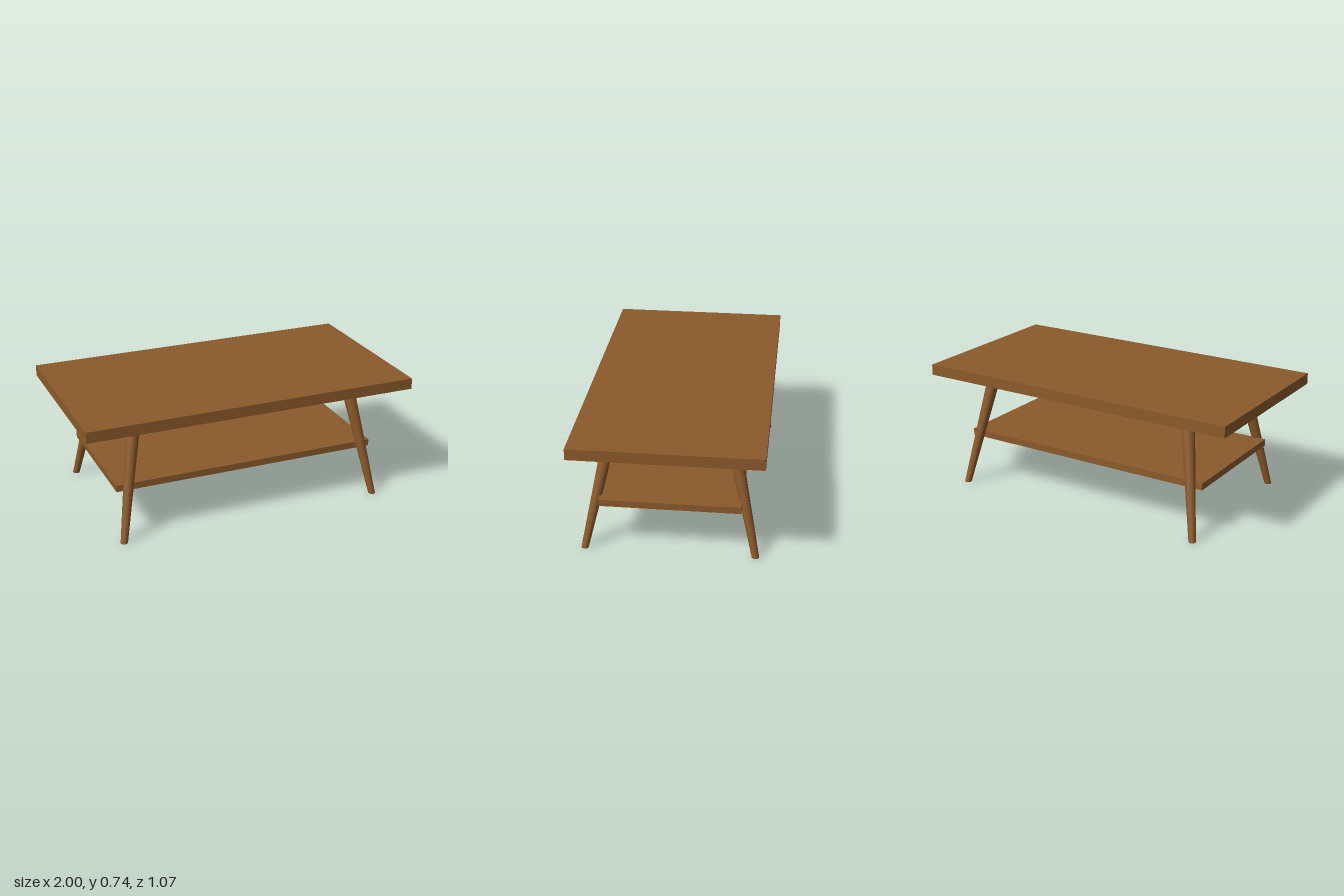
import * as THREE from 'three';

const wood = new THREE.MeshStandardMaterial({ color: 0x8b5a2b });
wood.name = 'brown wood';

// Horizontal board resting at height y
function board(name, width, height, depth, y) {
  const mesh = new THREE.Mesh(new THREE.BoxGeometry(width, height, depth), wood);
  mesh.name = name;
  mesh.position.y = y + height / 2;
  return mesh;
}

// Tapered round leg, sheared outwards so that both ends stay level
function leg(name, sx, sz) {
  const height = 0.675;
  const geometry = new THREE.CylinderGeometry(0.04, 0.021, height, 32);
  geometry.translate(0, height / 2, 0);
  const shear = new THREE.Matrix4().set(
    1, -sx * 0.126 / height, 0, sx * 0.798,
    0, 1, 0, 0,
    0, -sz * 0.146 / height, 1, sz * 0.486,
    0, 0, 0, 1
  );
  geometry.applyMatrix4(shear);
  const mesh = new THREE.Mesh(geometry, wood);
  mesh.name = name;
  return mesh;
}

export function createModel() {
  const table = new THREE.Group();
  table.name = 'coffeeTable';

  // Top and lower shelf
  table.add(board('tableTop', 2, 0.065, 1.066, 0.675));
  table.add(board('lowerShelf', 1.61, 0.04, 0.8, 0.282));

  // Four splayed legs
  for (const sx of [1, -1]) {
    for (const sz of [1, -1]) {
      const name = (sz > 0 ? 'front' : 'back') + (sx > 0 ? 'Left' : 'Right') + 'Leg';
      table.add(leg(name, sx, sz));
    }
  }
  return table;
}
